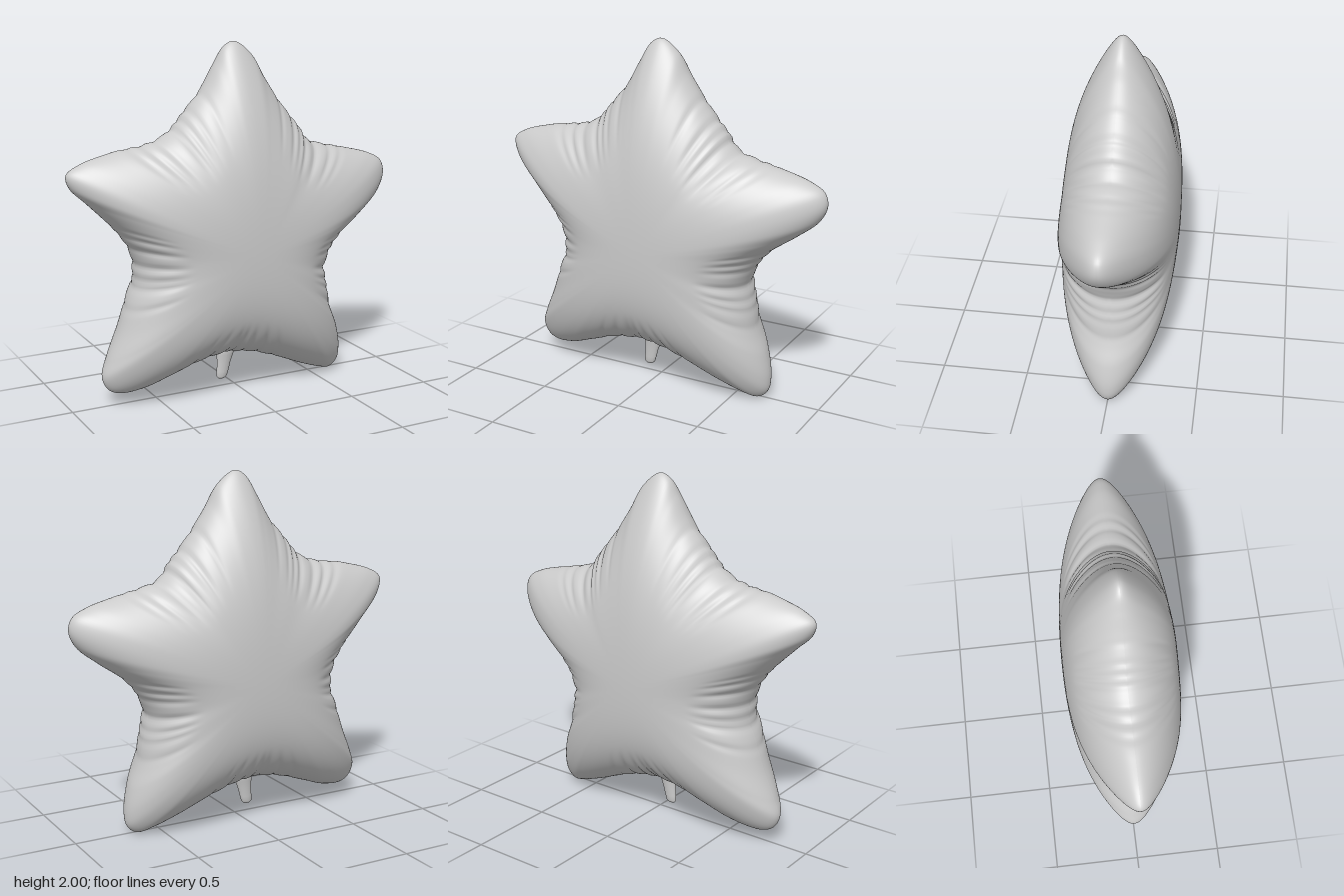
import * as THREE from 'three';

const SEGMENTS = 480, RINGS = 40, DEPTH = 0.333;
const CENTRE = new THREE.Vector2(0, 0.84);

// star outline, counter-clockwise from the top tip
const OUTLINE = [
  [0, 2], [-.06, 1.975], [-.12, 1.88], [-.2, 1.74], [-.3, 1.63], [-.44, 1.495],
  [-.74, 1.43], [-.92, 1.38], [-.995, 1.33], [-.98, 1.26], [-.88, 1.16], [-.76, 1.04], [-.67, .93], [-.625, .84],
  [-.62, .7], [-.66, .585], [-.72, .42], [-.79, .265], [-.82, .17], [-.79, .1], [-.73, .07], [-.6, .08],
  [-.47, .125], [-.28, .19], [-.12, .215], [.06, .2], [.25, .14], [.44, .06], [.57, .015], [.64, .003],
  [.69, .045], [.7, .125], [.67, .265], [.61, .41], [.585, .55], [.56, .68], [.6, .78], [.69, .89],
  [.84, 1], [.96, 1.1], [1, 1.19], [.98, 1.26], [.89, 1.31], [.7, 1.36], [.46, 1.43],
  [.395, 1.52], [.28, 1.65], [.17, 1.81], [.1, 1.93],
];

// inner corners where the foil gathers into folds
const NOTCHES = [[-.42, 1.51], [-.625, .79], [-.04, .21], [.56, .69], [.42, 1.47]];
const FOLDS = [[-.29, .4], [-.19, .7], [-.1, .9], [-.02, 1], [.07, .8], [.15, .9], [.26, .5]];

function outlinePoints() {
  const curve = new THREE.CatmullRomCurve3(OUTLINE.map(([x, y]) => new THREE.Vector3(x, y, 0)), true);
  return { points: curve.getSpacedPoints(SEGMENTS).slice(0, SEGMENTS), step: curve.getLength() / SEGMENTS };
}

// fold strength (0..1) at every outline point
function foldStrength(points, step) {
  const strength = new Array(SEGMENTS).fill(0);
  NOTCHES.forEach(([nx, ny], n) => {
    let nearest = 0;
    const dist = (p) => Math.hypot(p.x - nx, p.y - ny);
    points.forEach((p, j) => { if (dist(p) < dist(points[nearest])) nearest = j; });
    FOLDS.forEach(([offset, amount], f) => {
      const shift = offset + 0.02 * Math.sin(n * 2.3 + f * 1.7);
      for (let k = -40; k <= 40; k++) {
        const j = (nearest + k + SEGMENTS) % SEGMENTS;
        strength[j] += amount * Math.exp(-(((k * step - shift) / 0.024) ** 2));
      }
    });
  });
  return strength;
}

// one inflated foil panel; side = 1 for the front, -1 for the back
function panelGeometry(side, points, folds) {
  const positions = [CENTRE.x, CENTRE.y, side * DEPTH], index = [];
  for (let i = 1; i <= RINGS; i++) {
    const t = Math.sin((i / RINGS) * Math.PI / 2);
    const rimWindow = THREE.MathUtils.smoothstep(t, 0.6, 0.95);
    for (let j = 0; j < SEGMENTS; j++) {
      const dx = points[j].x - CENTRE.x, dy = points[j].y - CENTRE.y;
      const r = t * Math.hypot(dx, dy);
      const dome = Math.pow(Math.max(0, 1 - (r / 1.32) ** 2), 0.7);
      const edge = Math.sqrt(Math.max(0, 1 - t ** 4));
      const fold = folds[j] * rimWindow;
      const s = t * (1 - 0.014 * fold);
      positions.push(CENTRE.x + dx * s, CENTRE.y + dy * s, side * DEPTH * dome * edge * (1 - 0.07 * fold));
    }
  }
  const at = (i, j) => 1 + (i - 1) * SEGMENTS + (j % SEGMENTS);
  const face = (a, b, c) => (side > 0 ? index.push(a, b, c) : index.push(a, c, b));
  for (let j = 0; j < SEGMENTS; j++) {
    face(0, at(1, j), at(1, j + 1));
    for (let i = 1; i < RINGS; i++) {
      face(at(i, j), at(i + 1, j), at(i + 1, j + 1));
      face(at(i, j), at(i + 1, j + 1), at(i, j + 1));
    }
  }
  const geometry = new THREE.BufferGeometry();
  geometry.setAttribute('position', new THREE.Float32BufferAttribute(positions, 3));
  geometry.setIndex(index);
  geometry.computeVertexNormals();
  return geometry;
}

// flattened filling neck, wide at the star and rounded at the end
function neckGeometry() {
  const profile = [[0, .045], [.02, .047], [.033, .06], [.037, .09], [.042, .14], [.052, .19], [.062, .225], [.05, .26]];
  const geometry = new THREE.LatheGeometry(profile.map(([x, y]) => new THREE.Vector2(x, y)), 32);
  geometry.scale(1, 1, 0.55);
  const p = geometry.attributes.position;
  for (let i = 0; i < p.count; i++) p.setX(i, p.getX(i) - 0.083 + 0.16 * (p.getY(i) - 0.045));
  geometry.computeVertexNormals();
  return geometry;
}

export function createModel() {
  const group = new THREE.Group();
  group.name = 'starBalloon';
  const material = new THREE.MeshStandardMaterial({ color: 0xcccccc });
  const add = (name, geometry) => {
    const mesh = new THREE.Mesh(geometry, material);
    mesh.name = name;
    group.add(mesh);
  };
  const { points, step } = outlinePoints();
  const folds = foldStrength(points, step);
  add('frontPanel', panelGeometry(1, points, folds));
  add('backPanel', panelGeometry(-1, points, folds));
  add('fillingNeck', neckGeometry());
  return group;
}
